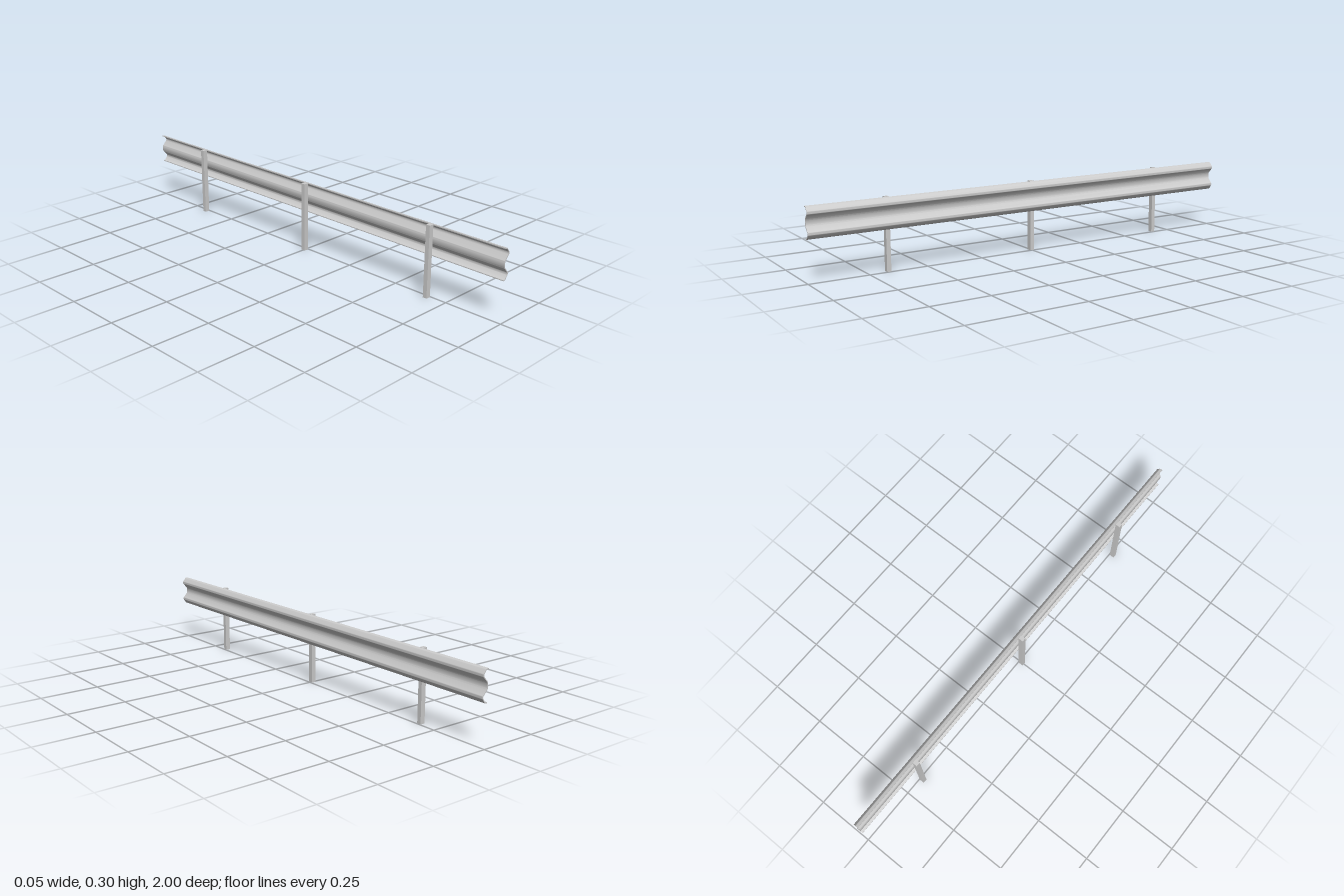
import * as THREE from 'three';
import { toCreasedNormals } from 'three/addons/utils/BufferGeometryUtils.js';

const LENGTH = 2, THICK = 0.0036, MID_Y = 0.2355;

// Replace each inner corner of a polyline with a short curve.
function roundCorners(pts, cut, steps) {
  const out = [pts[0]];
  for (let i = 1; i < pts.length - 1; i++) {
    const p = pts[i];
    const toward = (q) => p.clone().lerp(q, Math.min(cut / p.distanceTo(q), 0.48));
    const bend = new THREE.QuadraticBezierCurve(toward(pts[i - 1]), p, toward(pts[i + 1]));
    out.push(...bend.getPoints(steps));
  }
  out.push(pts[pts.length - 1]);
  return out;
}

// Shift a polyline sideways, mitred at the corners.
function offsetPath(pts, d) {
  const normal = (a, b) => new THREE.Vector2(a.y - b.y, b.x - a.x).normalize();
  return pts.map((p, i) => {
    const n1 = normal(pts[Math.max(i - 1, 0)], pts[Math.max(i, 1)]);
    const last = pts.length - 1;
    const n2 = normal(pts[Math.min(i, last - 1)], pts[Math.min(i + 1, last)]);
    const m = n1.clone().add(n2).normalize();
    return p.clone().addScaledVector(m, d / m.dot(n1));
  });
}

// Double-wave rail section, swept along z.
function railGeometry() {
  const upper = [
    [-0.003, 0.062], [0.0065, 0.062], [0.0205, 0.0435],
    [0.0205, 0.0365], [-0.0013, 0.0125],
  ];
  const lower = upper.map(([x, y]) => [x, -y]).reverse();
  const corners = [...upper, ...lower].map(([x, y]) => new THREE.Vector2(x, MID_Y + y));
  const line = roundCorners(corners, 0.004, 4);
  const outline = [
    ...offsetPath(line, THICK / 2),
    ...offsetPath(line, -THICK / 2).reverse(),
  ];
  const geo = new THREE.ExtrudeGeometry(new THREE.Shape(outline), {
    depth: LENGTH, bevelEnabled: false, steps: 1,
  });
  geo.translate(0, 0, -LENGTH / 2);
  return toCreasedNormals(geo, 0.6);
}

export function createModel() {
  const group = new THREE.Group();
  group.name = 'guardrail';
  const material = new THREE.MeshStandardMaterial({ color: 0xcccccc });

  const rail = new THREE.Mesh(railGeometry(), material);
  rail.name = 'rail';
  group.add(rail);

  // Three evenly spaced posts behind the rail.
  const postGeo = new THREE.BoxGeometry(0.021, 0.3, 0.018);
  ['rearPost', 'middlePost', 'frontPost'].forEach((name, i) => {
    const post = new THREE.Mesh(postGeo, material);
    post.name = name;
    post.position.set(-0.0135, 0.15, (i - 1) * 0.667);
    group.add(post);
  });

  return group;
}
